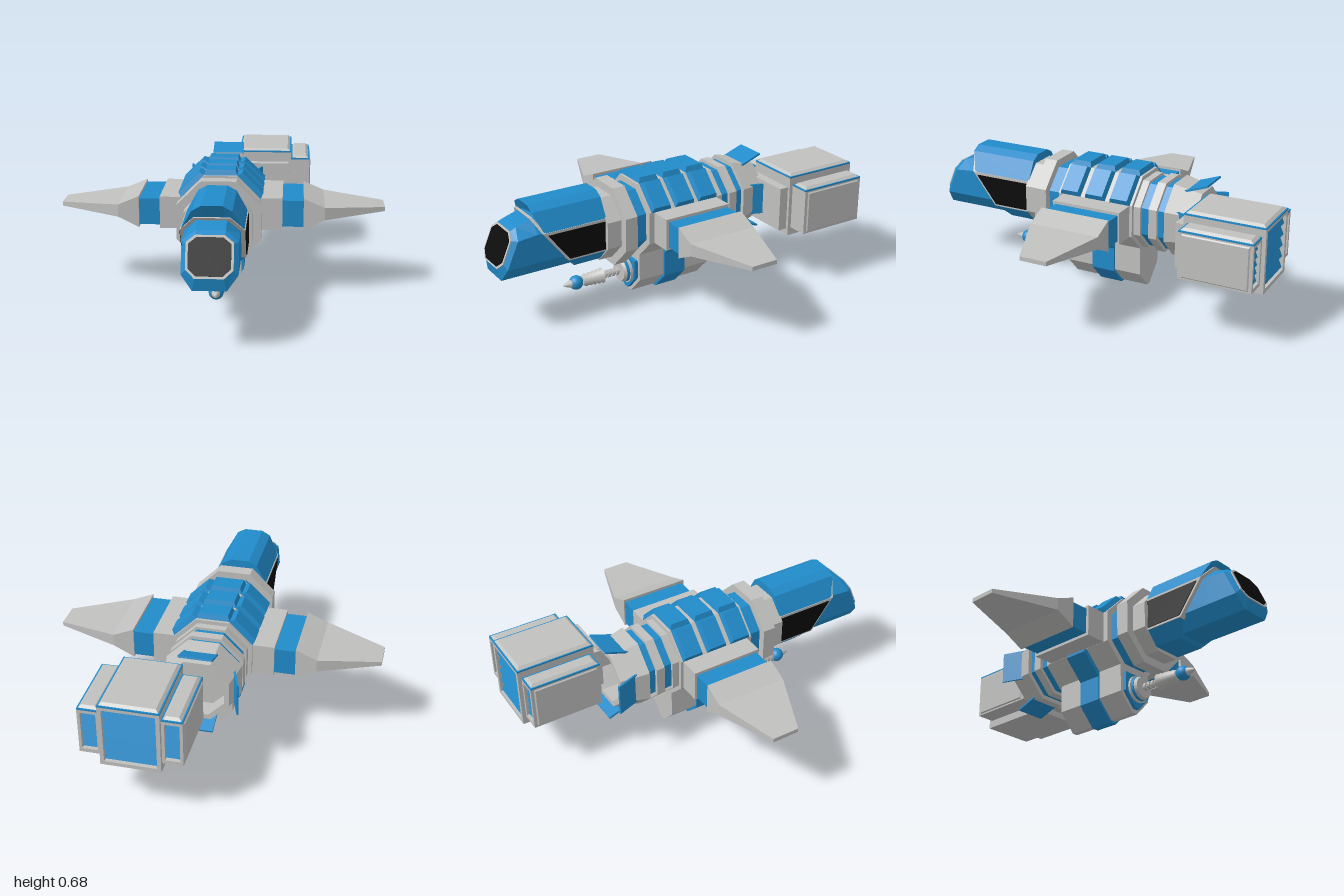
import * as THREE from 'three';

const mat = (name, color) => Object.assign(new THREE.MeshStandardMaterial({ color }), { name });
const CY = 0.445; // height of the hull axis
const OCT = 1 / Math.cos(Math.PI / 8);

export function createModel() {
  const model = new THREE.Group();
  model.name = 'spacecraft';
  const gray = mat('hullGray', 0xc0c0bf);
  const blue = mat('panelBlue', 0x218bca);
  const black = mat('glassBlack', 0x0b0b0b);

  const add = (name, geo, m, x = 0, y = 0, z = 0, parent = model) => {
    const mesh = new THREE.Mesh(geo, m);
    mesh.name = name;
    mesh.position.set(x, y, z);
    parent.add(mesh);
    return mesh;
  };
  const flat = (geo) => {
    const g = geo.index ? geo.toNonIndexed() : geo;
    g.computeVertexNormals();
    return g;
  };
  const box = (name, m, x0, x1, y0, y1, z0, z1, parent) =>
    add(name, new THREE.BoxGeometry(x1 - x0, y1 - y0, z1 - z0), m,
      (x0 + x1) / 2, (y0 + y1) / 2, (z0 + z1) / 2, parent);

  // Box whose +y face is drawn in by an inset
  const taperBox = (w, h, d, inset) => {
    const g = new THREE.BoxGeometry(w, h, d);
    const p = g.attributes.position;
    for (let i = 0; i < p.count; i++) {
      if (p.getY(i) > 0) p.setXYZ(i, p.getX(i) * (1 - 2 * inset / w), h / 2, p.getZ(i) * (1 - 2 * inset / d));
    }
    return flat(g);
  };

  // Octagonal hull slice between two z positions
  const slice = (name, m, r, z0, z1) => {
    const g = new THREE.CylinderGeometry(r * OCT, r * OCT, z1 - z0, 8, 1, false, Math.PI / 8);
    return add(name, flat(g.rotateX(Math.PI / 2)), m, 0, CY, (z0 + z1) / 2);
  };

  // Skin over counter-clockwise cross-sections, ordered from low z to high z
  const loft = (sections) => {
    const v = [];
    const tri = (...pts) => pts.forEach((p) => v.push(...p));
    const n = sections[0].length;
    for (let s = 0; s + 1 < sections.length; s++) {
      for (let i = 0; i < n; i++) {
        const j = (i + 1) % n, A = sections[s], B = sections[s + 1];
        tri(A[i], A[j], B[j]);
        tri(A[i], B[j], B[i]);
      }
    }
    const back = sections[0], front = sections[sections.length - 1];
    for (let i = 1; i + 1 < n; i++) {
      tri(back[0], back[i + 1], back[i]);
      tri(front[0], front[i], front[i + 1]);
    }
    const g = new THREE.BufferGeometry();
    g.setAttribute('position', new THREE.Float32BufferAttribute(v, 3));
    g.computeVertexNormals();
    return g;
  };
  const mirror = (half) => [...half, ...half.slice().reverse().map(([x, ...rest]) => [-x, ...rest])];
  const extrude = (pts, depth) => new THREE.ExtrudeGeometry(
    new THREE.Shape(pts.map(([x, y]) => new THREE.Vector2(x, y))), { depth, bevelEnabled: false });

  // Hull slices from front to back
  slice('neckRing', gray, 0.172, 0.35, 0.43);
  slice('frontCollar', gray, 0.215, 0.28, 0.35);
  slice('frontBand', blue, 0.175, 0.2, 0.28);
  slice('mainHull', gray, 0.207, -0.225, 0.205);
  slice('rearCollar', gray, 0.186, -0.262, -0.22);
  slice('rearBand', blue, 0.172, -0.41, -0.26);
  slice('rearRing', gray, 0.19, -0.356, -0.31);

  // Hollow octagonal tail
  const tailProfile = [[0, -0.45], [0.135, -0.45], [0.135, -0.55], [0.162, -0.55], [0.195, -0.4], [0, -0.4]]
    .map(([r, z]) => new THREE.Vector2(r * OCT, z));
  add('tailNozzle', flat(new THREE.LatheGeometry(tailProfile, 8, Math.PI / 8).rotateX(Math.PI / 2)), gray, 0, CY);

  // Four flared tail flaps
  for (let i = 0; i < 4; i++) {
    const pivot = new THREE.Group();
    pivot.name = 'tailFlap';
    pivot.position.y = CY;
    pivot.rotation.z = i * Math.PI / 2;
    add('flapPlate', new THREE.BoxGeometry(0.172, 0.01, 0.135), blue, 0, 0.19, -0.522, pivot).rotation.x = 0.345;
    model.add(pivot);
  }

  // Raised armour tiles on the upper three faces
  for (const a of [-1, 0, 1]) {
    const row = new THREE.Group();
    row.name = 'armourRow';
    row.position.y = CY;
    row.rotation.z = a * Math.PI / 4;
    for (const z of [-0.153, -0.01, 0.133]) {
      add('armourTile', taperBox(0.178, 0.036, 0.122, 0.013), blue, 0, 0.217, z, row);
    }
    model.add(row);
  }

  // Nose with a slanted front pane
  const section = (half, z) => mirror(half.map(([x, y]) => [x, y, z]));
  const noseHalf = [[0.08, 0.308], [0.132, 0.38], [0.132, 0.53], [0.07, 0.595]];
  const tip = [[0.065, 0.375], [0.105, 0.41], [0.105, 0.52], [0.065, 0.55]]
    .map(([x, y]) => [x, y, 0.92 + (0.55 - y) * 0.43]);
  add('nose', loft([
    section(noseHalf, 0.5), section(noseHalf, 0.8),
    mirror([[0.08, 0.308, 0.983], [0.132, 0.38, 0.968], [0.132, 0.52, 0.905], [0.07, 0.568, 0.885]]),
    mirror(tip),
  ]), blue);
  const pane = (name, m, k, out) => {
    const at = (lift) => mirror(tip.map(([x, y, z]) => {
      const yy = 0.4625 + (y - 0.4625) * k;
      return [x * k, yy + lift * 0.4, 0.92 + (0.55 - yy) * 0.43 + lift * 0.92];
    }));
    add(name, loft([at(-0.003), at(out)]), m);
  };
  pane('nosePaneFrame', gray, 1.05, 0.002);
  pane('nosePane', black, 0.94, 0.005);

  // Cabin with a raked front edge
  const cabinHalf = [[0.085, 0.29], [0.15, 0.362], [0.15, 0.535], [0.095, 0.635], [0.05, 0.66]];
  const rake = (y) => Math.min(0.64 + (y - 0.365) * 0.766, 0.81);
  const raked = (dz, k) => mirror(cabinHalf.map(([x, y]) => [x * k, y, rake(y) + dz]));
  add('cabin', loft([section(cabinHalf, 0.425), raked(0, 1)]), blue);
  // Thin frame round the raked edge, kept below the roof
  const frameHalf = [[0.152, 0.362], [0.152, 0.535], [0.085, 0.605]];
  const framed = (dz) => mirror(frameHalf.map(([x, y]) => [x, y, rake(y) + dz]));
  add('cabinFrame', loft([framed(-0.008), framed(0.01)]), gray);

  // Side windows, each slab reaching both flanks
  const sidePane = (name, m, pts, reach) =>
    add(name, extrude(pts, reach * 2).rotateY(-Math.PI / 2), m, reach);
  sidePane('sideWindowFrame', gray, [[0.43, 0.36], [0.645, 0.36], [0.779, 0.536], [0.43, 0.536]], 0.153);
  sidePane('sideWindow', black, [[0.435, 0.37], [0.638, 0.37], [0.754, 0.522], [0.435, 0.522]], 0.157);

  // Wings
  for (const s of [-1, 1]) {
    const wing = new THREE.Group();
    wing.name = s > 0 ? 'leftWing' : 'rightWing';
    const span = (name, m, a, b, ...dims) => box(name, m, Math.min(s * a, s * b), Math.max(s * a, s * b), ...dims, wing);
    span('wingRoot', gray, 0.18, 0.32, 0.36, 0.53, -0.21, 0.175);
    span('wingJoint', blue, 0.31, 0.44, 0.375, 0.515, -0.2, 0.16);
    const rib = (x, y0, y1, z0, z1) => {
      const a = Math.min(-s * z0, -s * z1), b = Math.max(-s * z0, -s * z1);
      return [[a, y0, x], [b, y0, x], [b, y1, x], [a, y1, x]];
    };
    add('wingBlade', loft([
      rib(0.43, 0.362, 0.53, -0.207, 0.175), rib(0.54, 0.417, 0.483, -0.207, 0.175),
      rib(0.86, 0.435, 0.457, -0.105, 0.04),
    ]).rotateY(s * Math.PI / 2), gray, 0, 0, 0, wing);
    model.add(wing);
  }

  // Belly pod with a blue strap
  add('bellyPod', extrude(mirror([[0.016, 0.012], [0.107, 0.108], [0.107, 0.27]]), 0.43), gray, 0, 0, -0.225);
  add('bellyStrap', extrude(mirror([[0.02, 0], [0.116, 0.1], [0.116, 0.232], [0.222, 0.34], [0.222, 0.354]]), 0.13), blue, 0, 0, -0.075);
  add('podFace', extrude(mirror([[0.014, 0.035], [0.088, 0.115], [0.088, 0.217]]), 0.02), blue, 0, 0, 0.205);

  // Belly cannon, built along its axis
  const cannon = new THREE.Group();
  cannon.name = 'cannon';
  cannon.position.y = 0.14;
  const barrel = (name, m, rBack, rFront, z0, z1) =>
    add(name, new THREE.CylinderGeometry(rFront, rBack, z1 - z0, 20).rotateX(Math.PI / 2), m, 0, 0, (z0 + z1) / 2, cannon);
  barrel('cannonBase', gray, 0.073, 0.073, 0.22, 0.238);
  barrel('cannonBaseBand', blue, 0.066, 0.066, 0.238, 0.255);
  barrel('cannonBaseCap', gray, 0.064, 0.056, 0.255, 0.27);
  barrel('cannonRod', gray, 0.012, 0.012, 0.26, 0.53);
  for (let i = 0; i < 4; i++) barrel('rodRing', gray, 0.021, 0.021, 0.28 + i * 0.025, 0.295 + i * 0.025);
  for (let i = 0; i < 5; i++) barrel('coolingRib', gray, 0.042 - i * 0.002, 0.026, 0.375 + i * 0.024, 0.399 + i * 0.024);
  add('cannonBulb', new THREE.SphereGeometry(0.038, 20, 14), blue, 0, 0, 0.53, cannon);
  barrel('cannonTip', gray, 0.024, 0.006, 0.555, 0.602);
  model.add(cannon);

  // Offset engine block: three louvred housings
  const engine = new THREE.Group();
  engine.name = 'engine';
  const housing = (x0, x1, y0, y1, z0, z1, slats, lip) => {
    const top = y1 - 0.02, w = x1 - x0, d = z1 - z0, xm = (x0 + x1) / 2, zm = (z0 + z1) / 2;
    box('housing', gray, x0, x1, y0, top, z0 + 0.04, z1, engine);
    const frame = new THREE.Shape([[x0, y0], [x1, y0], [x1, top], [x0, top]].map((p) => new THREE.Vector2(...p)));
    const hx0 = x0 + lip, hx1 = x1 - lip, hy0 = y0 + 0.02, hy1 = top - 0.016;
    frame.holes.push(new THREE.Path([[hx0, hy0], [hx0, hy1], [hx1, hy1], [hx1, hy0]].map((p) => new THREE.Vector2(...p))));
    add('louvreFrame', new THREE.ExtrudeGeometry(frame, { depth: 0.04, bevelEnabled: false }), gray, 0, 0, z0, engine);
    const pitch = (hy1 - hy0) / slats;
    for (let i = 0; i < slats; i++) {
      const slat = add('louvre', new THREE.BoxGeometry(hx1 - hx0, pitch * 0.8, 0.012), blue,
        xm, hy0 + (i + 0.5) * pitch, z0 + 0.024, engine);
      slat.rotation.x = 0.4;
    }
    box('topTrim', blue, x0, x1, top, top + 0.008, z0, z1, engine);
    add('topPlate', taperBox(w - 0.012, 0.013, d - 0.012, 0.015), gray, xm, y1 - 0.0065, zm, engine);
  };
  housing(0.06, 0.36, 0.275, 0.625, -1, -0.58, 5, 0.02);
  housing(0.36, 0.467, 0.318, 0.58, -0.98, -0.6, 5, 0.015);
  housing(-0.043, 0.06, 0.318, 0.58, -0.98, -0.6, 5, 0.015);
  // Raised plates on the outer flanks
  for (const s of [-1, 1]) {
    add('flankPlate', taperBox(0.23, 0.008, 0.35, 0.008), gray, 0.212 + s * 0.257, 0.44, -0.79, engine)
      .rotation.z = -s * Math.PI / 2;
  }
  box('engineMount', gray, 0.075, 0.345, 0.31, 0.55, -0.6, -0.53, engine);
  model.add(engine);

  return model;
}
